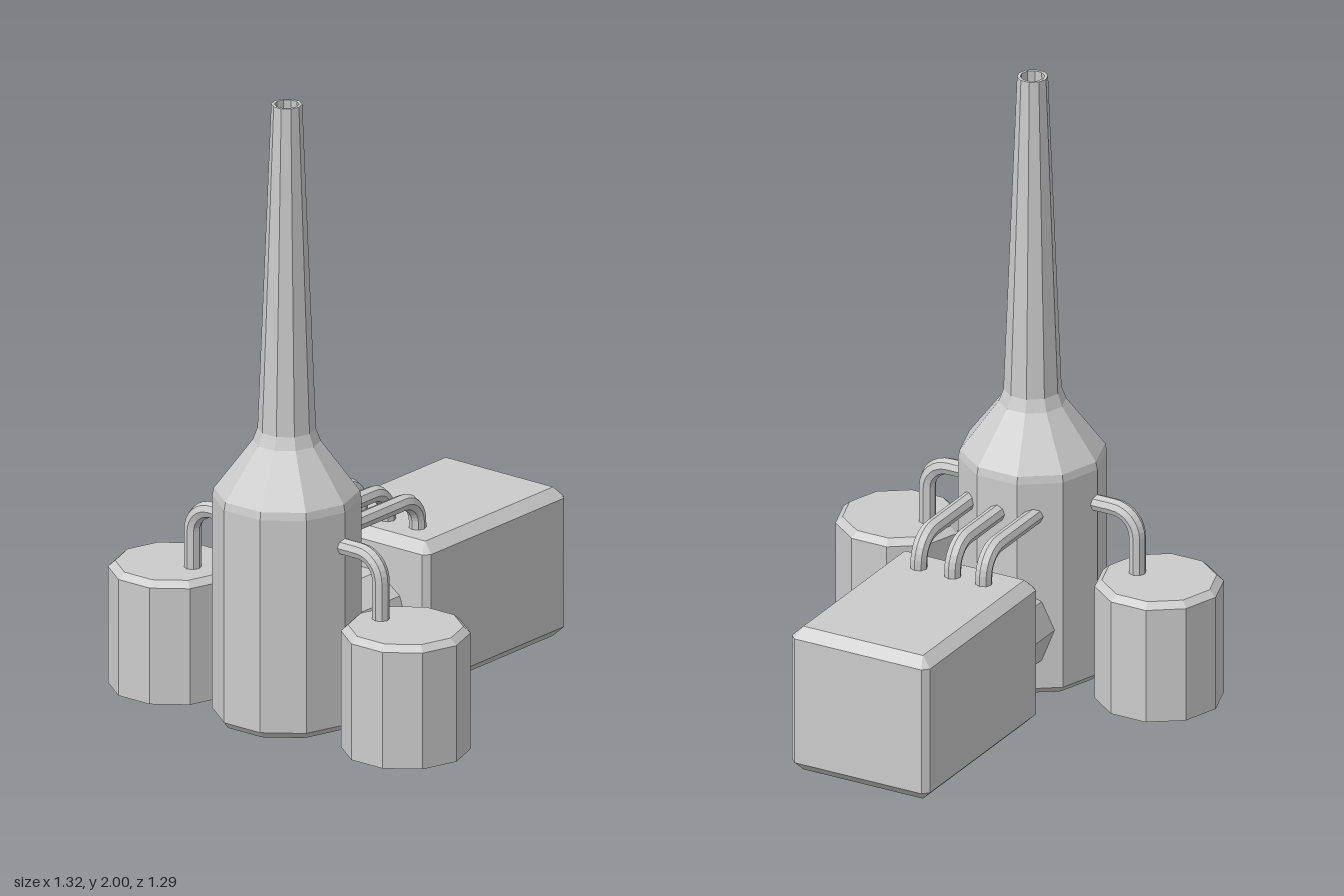
import * as THREE from 'three';

const material = new THREE.MeshStandardMaterial({ color: 0xcccccc, flatShading: true, side: THREE.DoubleSide });

function add(parent, name, geometry, x = 0, y = 0, z = 0) {
  const mesh = new THREE.Mesh(geometry, material);
  mesh.name = name;
  mesh.position.set(x, y, z);
  parent.add(mesh);
  return mesh;
}

// Ten-sided turned body with corners pointing along x
function turned(profile) {
  return new THREE.LatheGeometry(profile.map(([r, y]) => new THREE.Vector2(r, y)), 10).rotateY(Math.PI / 2);
}

// Box with chamfered edges, centred on its origin
function chamferBox(w, h, d, c) {
  const x = w / 2 - c, z = d / 2 - c;
  const X = x - c * 0.02, Z = z - c * 0.02;
  const shape = new THREE.Shape([
    [x, -Z], [x, Z], [X, z], [-X, z], [-x, Z], [-x, -Z], [-X, -z], [X, -z],
  ].map(([a, b]) => new THREE.Vector2(a, b)));
  return new THREE.ExtrudeGeometry(shape, {
    depth: h - 2 * c, bevelEnabled: true, bevelThickness: c, bevelSize: c, bevelSegments: 1,
  }).translate(0, 0, c - h / 2).rotateX(-Math.PI / 2);
}

// Pipe that runs level, then bends down
function elbowPipe(start, corner, end, bend = 0.08) {
  const [a, b, c] = [start, corner, end].map((p) => new THREE.Vector3(...p));
  const before = b.clone().add(a.clone().sub(b).setLength(bend));
  const after = b.clone().add(c.clone().sub(b).setLength(bend));
  // Cubic handles approximate a quarter circle
  const arc = new THREE.CubicBezierCurve3(before, before.clone().lerp(b, 0.552), after.clone().lerp(b, 0.552), after);
  const path = new THREE.CurvePath();
  path.add(new THREE.LineCurve3(a, before));
  path.add(arc);
  path.add(new THREE.LineCurve3(after, c));
  return new THREE.TubeGeometry(path, 24, 0.027, 8, false);
}

export function createModel() {
  const model = new THREE.Group();
  model.name = 'refinery';
  const cx = -0.01, cz = 0.42;

  // Central tower with shoulder and hollow tapering chimney
  add(model, 'towerAndChimney', turned([
    [0, 0], [0.215, 0], [0.23, 0.02], [0.23, 0.715], [0.225, 0.74],
    [0.105, 0.9], [0.09, 0.94], [0.048, 2], [0.038, 2], [0.04, 1.93], [0, 1.93],
  ]), cx, 0, cz);

  // Side tanks and their feed pipes
  for (const [side, s] of [['left', 1], ['right', -1]]) {
    add(model, side + 'Tank', turned([
      [0, 0], [0.2, 0], [0.2, 0.38], [0.178, 0.4], [0, 0.4],
    ]), s * 0.46, 0, cz);
    add(model, side + 'TankPipe', elbowPipe(
      [cx + s * 0.18, 0.603, cz], [cx + s * 0.372, 0.603, cz], [cx + s * 0.372, 0.38, cz]));
  }

  // Rear building
  add(model, 'rearBuilding', chamferBox(0.49, 0.487, 0.692, 0.033), -0.005, 0.2585, -0.303);

  // Duct between tower and building
  const duct = new THREE.CylinderGeometry(0.17, 0.17, 0.32, 10).rotateY(Math.PI / 2).rotateX(Math.PI / 2);
  add(model, 'connectingDuct', duct, -0.005, 0.215, 0.14);

  // Three pipes from tower to building roof
  for (const x of [-0.12, -0.01, 0.11]) {
    add(model, 'roofPipe', elbowPipe([x, 0.603, 0.25], [x, 0.603, -0.072], [x, 0.48, -0.072]));
  }
  return model;
}
